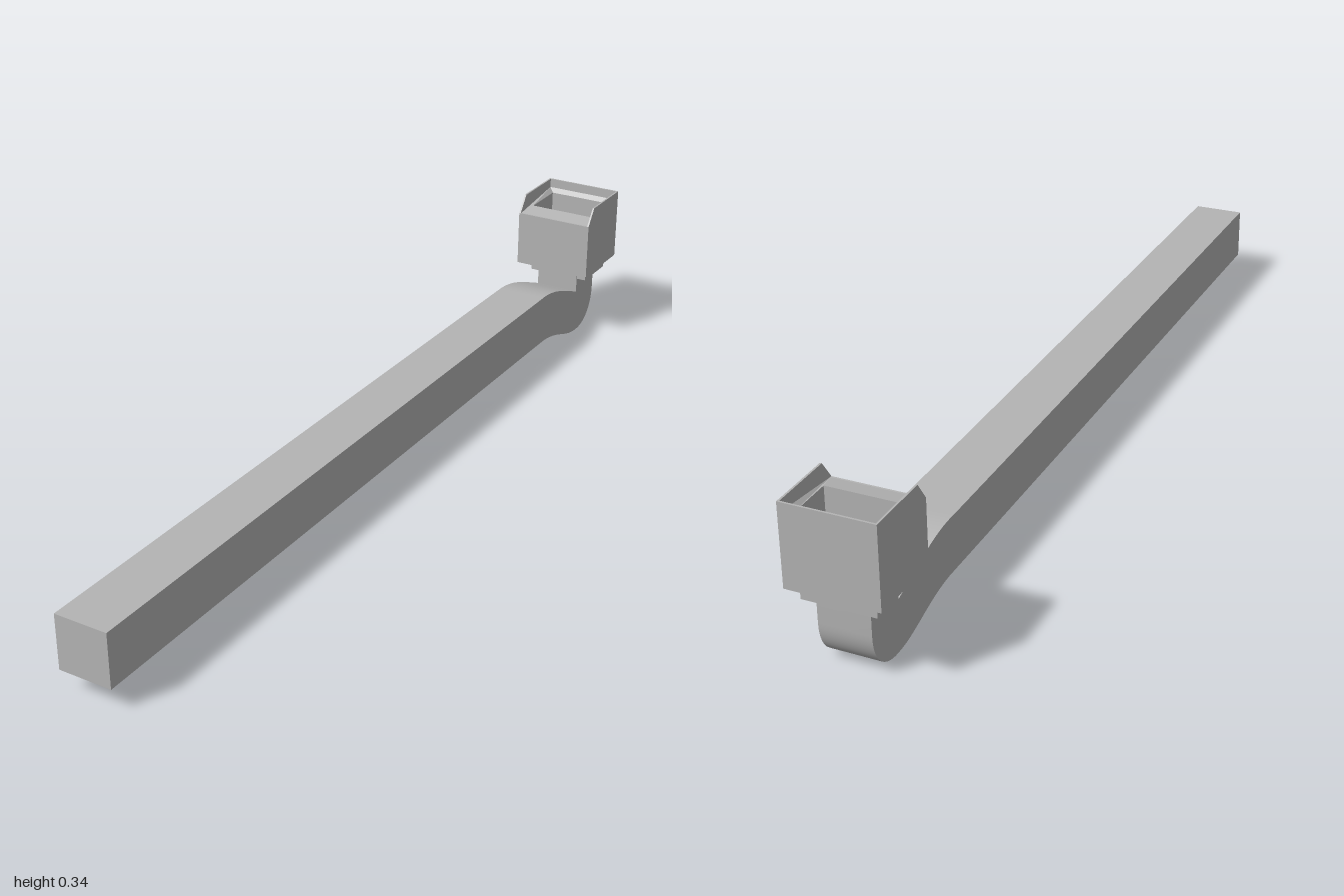
import * as THREE from 'three';
import { toCreasedNormals } from 'three/addons/utils/BufferGeometryUtils.js';

const metal = new THREE.MeshStandardMaterial({ color: 0xb4b4b4, side: THREE.DoubleSide });
metal.name = 'grey metal';

function add(group, name, geometry) {
  const mesh = new THREE.Mesh(geometry, metal);
  mesh.name = name;
  group.add(mesh);
  return mesh;
}

// Box given by its limits on each axis
function box(x0, x1, y0, y1, z0, z1) {
  return new THREE.BoxGeometry(x1 - x0, y1 - y0, z1 - z0)
    .translate((x0 + x1) / 2, (y0 + y1) / 2, (z0 + z1) / 2);
}

// Side profile drawn in (z, y), extruded across x
function acrossX(shape, x0, x1) {
  return new THREE.ExtrudeGeometry(shape, { depth: x1 - x0, bevelEnabled: false, curveSegments: 14 })
    .translate(0, 0, -x1)
    .rotateY(-Math.PI / 2);
}

// Rectangular loops joined into walls, with a floor closing the last loop
function steppedBasin(loops) {
  const pos = [];
  const quad = (a, b, c, d) => pos.push(...a, ...b, ...c, ...a, ...c, ...d);
  for (let i = 0; i < loops.length - 1; i++) {
    for (let k = 0; k < 4; k++) {
      const n = (k + 1) % 4;
      quad(loops[i][k], loops[i][n], loops[i + 1][n], loops[i + 1][k]);
    }
  }
  quad(...loops[loops.length - 1]);
  const g = new THREE.BufferGeometry();
  g.setAttribute('position', new THREE.Float32BufferAttribute(pos, 3));
  g.computeVertexNormals();
  return g;
}

// Corners run front left, front right, back right, back left as seen from above
const loop = (x, zFront, zBack, yFront, yBack) => [
  [-x, yFront, zFront], [x, yFront, zFront], [x, yBack, zBack], [-x, yBack, zBack],
];

export function createModel() {
  const model = new THREE.Group();
  model.name = 'downpipe';

  // Long straight pipe
  add(model, 'straightPipe', box(-0.058, 0.058, 0.047, 0.165, -0.66, 1));

  // Swan-neck bend, narrowing slightly towards the upright end
  const bend = new THREE.Shape();
  bend.moveTo(-0.66, 0.165);
  bend.bezierCurveTo(-0.73, 0.167, -0.79, 0.138, -0.868, 0.108);
  bend.lineTo(-0.868, 0.172);
  bend.lineTo(-0.965, 0.172);
  bend.lineTo(-0.965, 0.09);
  bend.bezierCurveTo(-0.965, 0.035, -0.93, 0, -0.88, 0);
  bend.bezierCurveTo(-0.81, 0, -0.76, 0.047, -0.66, 0.047);
  const bendGeometry = acrossX(bend, -0.058, 0.058);
  const p = bendGeometry.attributes.position;
  for (let i = 0; i < p.count; i++) {
    const t = THREE.MathUtils.clamp((-0.66 - p.getZ(i)) / 0.21, 0, 1);
    p.setX(i, p.getX(i) * (1 - 0.08 * t));
  }
  add(model, 'bend', toCreasedNormals(bendGeometry, 0.6));

  // Collar under the rainwater head
  add(model, 'collar', box(-0.075, 0.075, 0.142, 0.172, -0.98, -0.87));

  // Rainwater head: thin outer walls with cut front corners
  const head = new THREE.Group();
  head.name = 'rainwaterHead';
  model.add(head);
  const side = new THREE.Shape([
    [-0.83, 0.17], [-0.83, 0.302], [-0.858, 0.342], [-1, 0.342], [-1, 0.17],
  ].map(([z, y]) => new THREE.Vector2(z, y)));
  add(head, 'rightWall', acrossX(side, -0.095, -0.091));
  add(head, 'leftWall', acrossX(side, 0.091, 0.095));
  add(head, 'frontWall', box(-0.091, 0.091, 0.17, 0.302, -0.834, -0.83));
  add(head, 'backWall', box(-0.091, 0.091, 0.17, 0.342, -1, -0.996));
  add(head, 'bottom', box(-0.091, 0.091, 0.17, 0.174, -0.996, -0.834));

  // Sloping ledge around the opening, and the hollow below it
  add(head, 'basin', steppedBasin([
    loop(0.091, -0.834, -0.996, 0.302, 0.32),
    loop(0.079, -0.876, -0.986, 0.31, 0.31),
    loop(0.079, -0.876, -0.986, 0.18, 0.18),
  ]));

  return model;
}
